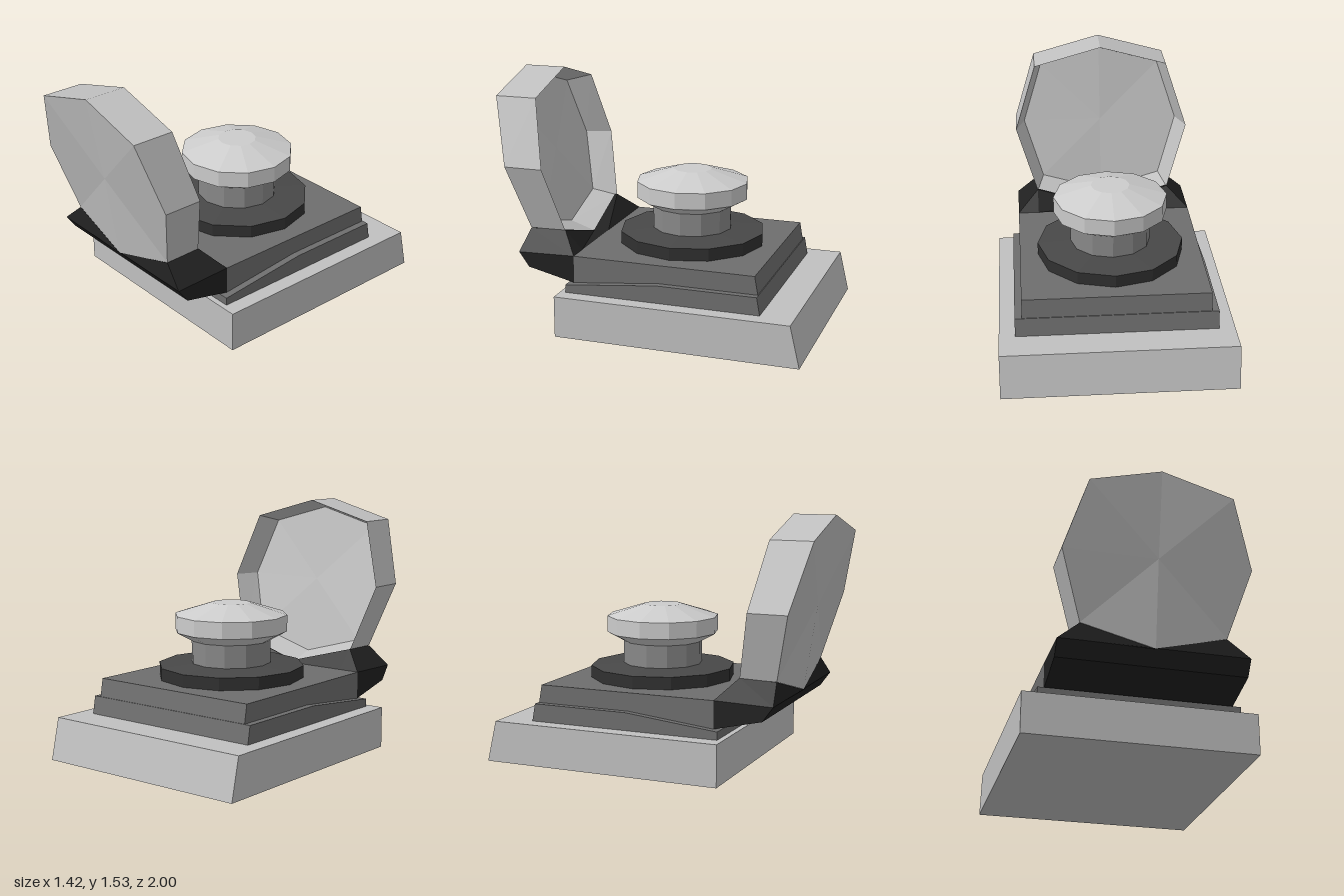
import * as THREE from 'three';

const paint = (name, color) => {
  const m = new THREE.MeshStandardMaterial({ color, flatShading: true });
  m.name = name;
  return m;
};

// Skins equal-length rings of [x, y, z] points and closes both ends.
function loft(rings) {
  const n = rings[0].length, index = [], points = rings.flat();
  for (let r = 0; r < rings.length - 1; r++) {
    for (let i = 0; i < n; i++) {
      const j = (i + 1) % n, a = r * n + i, d = r * n + j;
      index.push(a, a + n, d + n, a, d + n, d);
    }
  }
  const cap = (ring, offset, flip) => {
    const c = points.length;
    points.push([0, 1, 2].map(k => ring.reduce((s, p) => s + p[k], 0) / n));
    for (let i = 0; i < n; i++) {
      const a = offset + i, b = offset + (i + 1) % n;
      index.push(c, flip ? b : a, flip ? a : b);
    }
  };
  cap(rings[0], 0, false);
  cap(rings.at(-1), (rings.length - 1) * n, true);
  const g = new THREE.BufferGeometry();
  g.setAttribute('position', new THREE.Float32BufferAttribute(points.flat(), 3));
  g.setIndex(index);
  const flat = g.toNonIndexed();
  flat.computeVertexNormals();
  return flat;
}

// A [z, y] side profile placed at x.
const section = (x, profile) => profile.map(([z, y]) => [x, y, z]);
const prism = (halfWidth, profile) => loft([section(halfWidth, profile), section(-halfWidth, profile)]);

export function createModel() {
  const model = new THREE.Group();
  const light = paint('light grey', 0xc0c0c0);
  const pale = paint('pale grey', 0xcccccc);
  const mid = paint('mid grey', 0x888888);
  const slate = paint('slate grey', 0x6e6e6e);
  const charcoal = paint('charcoal', 0x484848);
  const dark = paint('dark grey', 0x303030);
  const black = paint('black', 0x202020);

  const add = (name, geometry, material) => {
    const mesh = new THREE.Mesh(geometry, material);
    mesh.name = name;
    model.add(mesh);
    return mesh;
  };

  // Stepped base with a leaning back
  add('base', prism(0.71, [[0.525, 0], [-1, 0], [-0.94, 0.257], [0.525, 0.257]]), light);
  add('lowerStep', prism(0.613,
    [[0.49, 0.257], [-0.735, 0.257], [-0.715, 0.367], [-0.1, 0.367], [0.49, 0.306]]), slate);
  add('upperBlock', prism(0.57, [[0.45, 0.257], [-0.73, 0.257], [-0.69, 0.48], [0.45, 0.48]]), slate);

  // Twelve-sided collar, stem and domed button
  const turned = (name, profile, material) => {
    const g = new THREE.LatheGeometry(profile.map(p => new THREE.Vector2(...p)), 12);
    add(name, g, material).position.z = -0.125;
  };
  turned('collarSide', [[0.457, 0.47], [0.457, 0.557]], dark);
  turned('collarTop', [[0.457, 0.557], [0.24, 0.572]], charcoal);
  turned('stem', [[0.25, 0.56], [0.25, 0.715]], mid);
  turned('button', [[0.25, 0.713], [0.353, 0.77], [0.353, 0.872], [0.12, 0.945], [0, 0.945]], pale);

  // Hinge bracket: tapered ends, raised shoulders and a V-shaped seat
  const bracket = (x, E, D) => section(x,
    [[0.45, 0.31], [0.45, 0.48], E, D, [0.815, 0.47], [0.75, 0.38]]);
  const end = x => bracket(x, [0.45, 0.48], [0.815, 0.47]);
  const shoulder = x => bracket(x, [0.56, 0.598], [0.79, 0.59]);
  add('hingeBracket', loft([
    end(0.57), shoulder(0.437), bracket(0, [0.55, 0.468], [0.815, 0.465]),
    shoulder(-0.437), end(-0.57),
  ]), black);

  // Eight-sided open lid, solid in front and hollow behind
  const outline = [ // x, y, front z, rear z
    [0, 1.535, 1, 0.735], [-0.437, 1.413, 1, 0.735], [-0.57, 1.003, 0.895, 0.65],
    [-0.437, 0.592, 0.79, 0.56], [0, 0.467, 0.815, 0.55], [0.437, 0.592, 0.79, 0.56],
    [0.57, 1.003, 0.895, 0.65], [0.437, 1.413, 1, 0.735],
  ];
  add('lid', loft([
    outline.map(([x, y, f]) => [x, y, f]),
    outline.map(([x, y, , r]) => [x, y, r]),
    outline.map(([x, y, , r]) => [x * 0.9, 1 + (y - 1) * 0.9, r + 0.16]),
  ]), light);

  return model;
}
